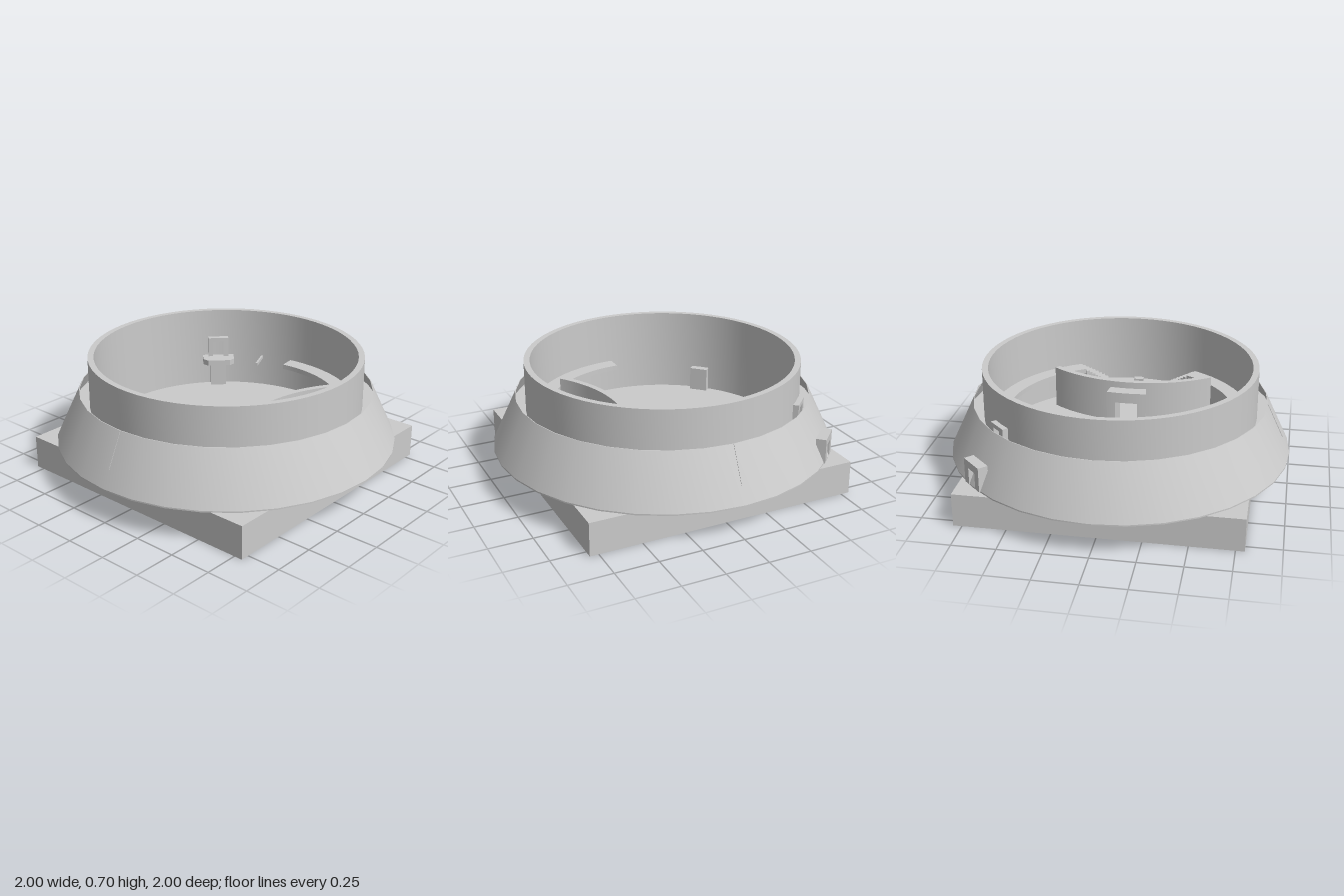
import * as THREE from 'three';
import { toCreasedNormals } from 'three/addons/utils/BufferGeometryUtils.js';

const mat = new THREE.MeshStandardMaterial({ color: 0xcccccc, side: THREE.DoubleSide });
const rad = THREE.MathUtils.degToRad;

function add(parent, name, geometry, x = 0, y = 0, z = 0) {
  const mesh = new THREE.Mesh(geometry, mat);
  mesh.name = name;
  mesh.position.set(x, y, z);
  parent.add(mesh);
  return mesh;
}

// Box given by its size and the height of its bottom
function box(parent, name, w, h, d, x, y, z) {
  return add(parent, name, new THREE.BoxGeometry(w, h, d), x, y + h / 2, z);
}

// Closed profile turned about the vertical axis, with sharp rims
function ring(parent, name, profile, sides) {
  const pts = [...profile, profile[0]].map(([r, y]) => new THREE.Vector2(r, y));
  return add(parent, name, toCreasedNormals(new THREE.LatheGeometry(pts, sides), 0.5));
}

// Flat outline (x, -z) raised from y0 to y1
function raise(parent, name, shape, y0, y1, x = 0) {
  const g = new THREE.ExtrudeGeometry(shape, { depth: y1 - y0, bevelEnabled: false, curveSegments: 24 });
  return add(parent, name, toCreasedNormals(g.rotateX(-Math.PI / 2), 0.5), x, y0, 0);
}

// Curved slab between two radii and two angles
function sector(parent, name, r0, r1, a0, a1, y0, y1, x = 0) {
  const s = new THREE.Shape();
  s.absarc(0, 0, r1, a0, a1, false);
  s.absarc(0, 0, r0, a1, a0, true);
  s.closePath();
  return raise(parent, name, s, y0, y1, x);
}

// Doorway frame with an opening reaching its foot
function frame(parent, name, w, h, depth, leg, lintel, y, z) {
  const s = new THREE.Shape();
  const a = w / 2, b = a - leg;
  [[-a, 0], [-a, h], [a, h], [a, 0], [b, 0], [b, h - lintel], [-b, h - lintel], [-b, 0]]
    .forEach(([px, py], i) => (i ? s.lineTo(px, py) : s.moveTo(px, py)));
  const g = new THREE.ExtrudeGeometry(s, { depth, bevelEnabled: false });
  return add(parent, name, g, 0, y, z);
}

export function createModel() {
  const model = new THREE.Group();
  model.name = 'roundFort';

  // Square plinth, round floor, sloping skirt and upright wall
  box(model, 'plinth', 1.6, 0.195, 1.6, 0, 0, 0);
  add(model, 'floor', new THREE.CylinderGeometry(1, 1, 0.008, 32), 0, 0.201, 0);
  ring(model, 'skirt', [[1, 0.205], [0.86, 0.5], [0.856, 0.5], [0.99, 0.205]], 32);
  ring(model, 'wall', [[0.8, 0.2], [0.8, 0.705], [0.765, 0.705], [0.765, 0.2]], 64);
  ring(model, 'walkway', [[0.79, 0.39], [0.9, 0.39], [0.898, 0.402], [0.79, 0.402]], 32);

  // Thin upright seams at the front and back of the skirt
  for (const s of [1, -1]) {
    const seam = box(model, 'skirtSeam', 0.008, 0.22, 0.01, 0, 0.29, s * 0.905);
    seam.rotation.x = -s * Math.atan2(0.14, 0.295);
  }

  // Ledges along the inside of the wall
  sector(model, 'backLedge', 0.67, 0.77, rad(29), rad(98), 0.375, 0.405);
  sector(model, 'frontLedge', 0.67, 0.77, rad(-90), rad(-29), 0.375, 0.405);

  // Curved inner wall with a projecting porch and a doorway
  const inner = new THREE.Group();
  inner.name = 'innerWall';
  model.add(inner);
  const cx = 1.09, door = 0.075;
  const bands = [['parapet', 0.785, 0.82, rad(37), 0.465], ['porch', 0.815, 0.9, 0.135, 0.425]];
  for (const [name, r0, r1, half, top] of bands) {
    sector(inner, name, r0, r1, Math.PI - half, Math.PI - door, 0.2, top, cx);
    sector(inner, name, r0, r1, Math.PI + door, Math.PI + half, 0.2, top, cx);
    sector(inner, name + 'Lintel', r0, r1, Math.PI - door, Math.PI + door, 0.36, top, cx);
  }

  // Lower deck behind the inner wall
  const deck = new THREE.Shape();
  deck.moveTo(0.48, -0.4);
  deck.absarc(0, 0, 0.77, -0.546, 0.546, false);
  deck.lineTo(0.48, 0.4);
  deck.closePath();
  raise(model, 'deck', deck, 0.26, 0.29);
  box(model, 'deckBlock', 0.04, 0.025, 0.06, 0.71, 0.29, 0);

  // Curved flights from the ledges to the deck
  const steps = 8, turn = rad(13) / steps;
  for (const s of [1, -1]) {
    for (let i = 0; i < steps; i++) {
      const a = s * (rad(29) - i * turn), b = a - s * turn;
      sector(model, 'step', 0.66, 0.77, Math.min(a, b), Math.max(a, b), 0.28, 0.395 - i * 0.0125);
    }
    // Short posts at the edge of the deck
    box(model, 'deckPost', 0.03, 0.03, 0.01, 0.58, 0.29, s * 0.085);
  }

  // Gate line on the back right: outer arch, wall door, balcony and lower door
  const gate = new THREE.Group();
  gate.name = 'gate';
  gate.rotation.y = -Math.PI * 0.75;
  model.add(gate);
  frame(gate, 'outerArch', 0.16, 0.145, 0.06, 0.045, 0.045, 0.2, 0.94);
  frame(gate, 'upperDoor', 0.13, 0.125, 0.1, 0.03, 0.025, 0.4, 0.73);
  const balcony = new THREE.Shape();
  [[-0.1, -0.76], [-0.1, -0.68], [-0.07, -0.65], [0.07, -0.65], [0.1, -0.68], [0.1, -0.76]]
    .forEach(([x, y], i) => (i ? balcony.lineTo(x, y) : balcony.moveTo(x, y)));
  raise(gate, 'balcony', balcony, 0.365, 0.4);
  box(gate, 'lowerDoor', 0.1, 0.165, 0.05, 0, 0.2, 0.74);

  // Second door block on the front right
  const sideDoor = new THREE.Group();
  sideDoor.name = 'sideDoor';
  sideDoor.rotation.y = -Math.PI / 4;
  model.add(sideDoor);
  box(sideDoor, 'doorBlock', 0.11, 0.15, 0.05, 0, 0.2, 0.745);

  // Narrow plank jutting from the back of the wall
  const plank = box(model, 'plank', 0.012, 0.02, 0.15, -0.27, 0.385, -0.64);
  plank.rotation.y = Math.atan2(0.06, 0.13);

  return model;
}
